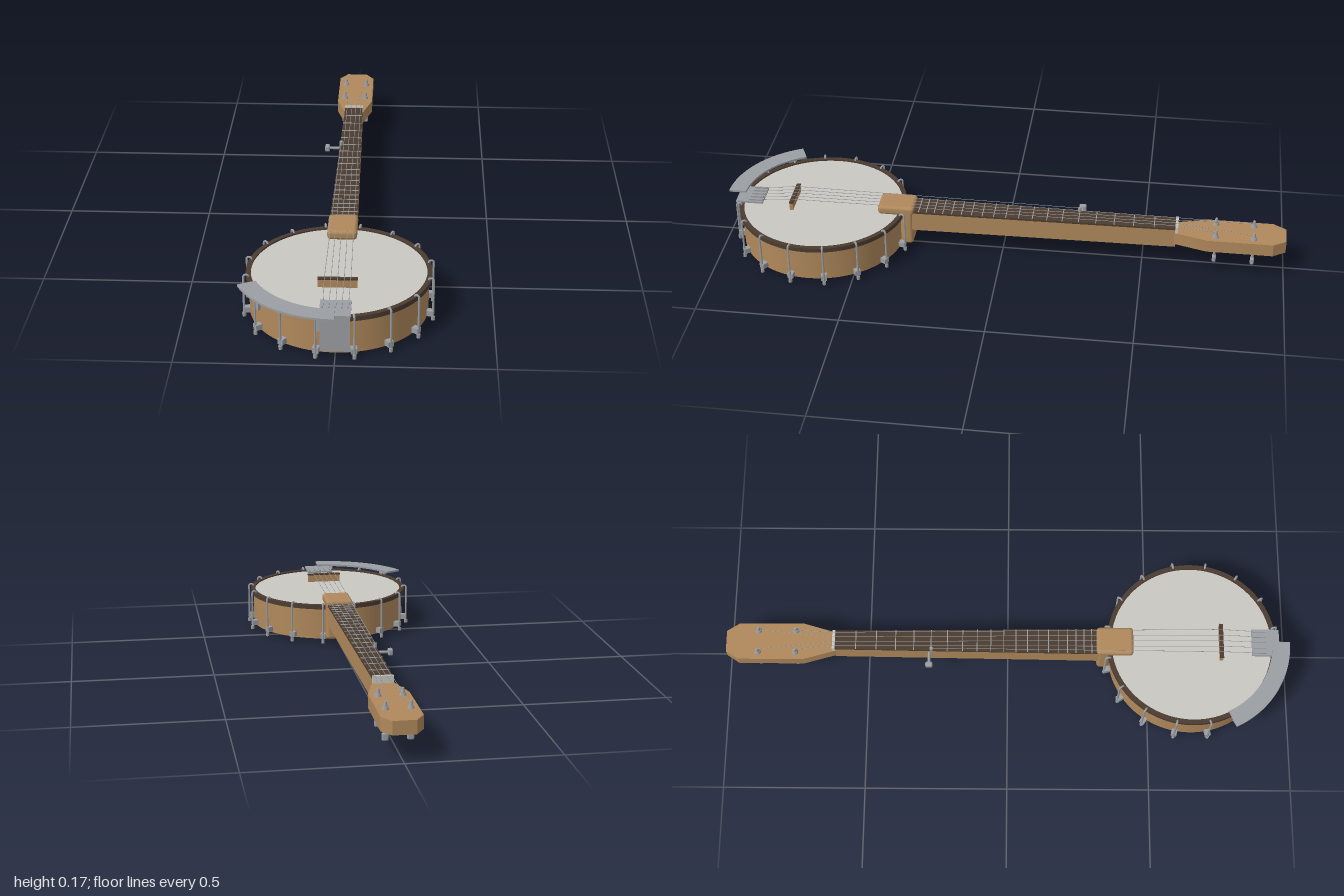
import * as THREE from 'three';
import { toCreasedNormals } from 'three/addons/utils/BufferGeometryUtils.js';
import { RoundedBoxGeometry } from 'three/addons/geometries/RoundedBoxGeometry.js';

const paint = (color) => new THREE.MeshStandardMaterial({ color });
const wood = paint(0xb0895c), dark = paint(0x4c3c31), metal = paint(0x9b9ea2), skin = paint(0xc9c8c2);
const POT_Z = 0.652;

function add(parent, name, geometry, material, x = 0, y = 0, z = 0) {
  const mesh = new THREE.Mesh(geometry, material);
  mesh.name = name;
  mesh.position.set(x, y, z);
  parent.add(mesh);
  return mesh;
}

// Box given by its limits
function box(parent, name, material, [x0, x1], [y0, y1], [z0, z1]) {
  return add(parent, name, new THREE.BoxGeometry(x1 - x0, y1 - y0, z1 - z0), material,
    (x0 + x1) / 2, (y0 + y1) / 2, (z0 + z1) / 2);
}

// Horizontal slab from a plan shape whose y axis points to -z
function slab(shape, y0, y1) {
  const g = new THREE.ExtrudeGeometry(shape, { depth: y1 - y0, bevelEnabled: false, curveSegments: 64 });
  g.rotateX(-Math.PI / 2).translate(0, y0, 0);
  return toCreasedNormals(g, 0.5);
}

// Symmetric plan outline from [half width, z] pairs
function outline(pairs) {
  const right = pairs.map(([x, z]) => new THREE.Vector2(x, -z));
  const left = pairs.map(([x, z]) => new THREE.Vector2(-x, -z)).reverse();
  return new THREE.Shape([...right, ...left]);
}

function ring(outer, inner, y0, y1) {
  const shape = new THREE.Shape().absarc(0, 0, outer, 0, Math.PI * 2);
  shape.holes.push(new THREE.Path().absarc(0, 0, inner, 0, Math.PI * 2, true));
  return slab(shape, y0, y1);
}

// Straight round bar between two points
function bar(parent, name, a, b, r, material, sides = 6) {
  const from = new THREE.Vector3(...a), to = new THREE.Vector3(...b);
  const mesh = add(parent, name, new THREE.CylinderGeometry(r, r, from.distanceTo(to), sides), material);
  mesh.position.lerpVectors(from, to, 0.5);
  mesh.quaternion.setFromUnitVectors(new THREE.Vector3(0, 1, 0), to.sub(from).normalize());
  return mesh;
}

function buildPot() {
  const pot = new THREE.Group();
  pot.name = 'pot';
  pot.position.z = POT_Z;
  add(pot, 'rim', ring(0.29, 0.262, 0.012, 0.129), wood);
  add(pot, 'tensionHoop', ring(0.3, 0.284, 0.129, 0.145), dark);
  add(pot, 'drumHead', new THREE.CylinderGeometry(0.286, 0.286, 0.008, 64), skin, 0, 0.136);

  // Sixteen hooks with shoes and nuts
  const hookPath = new THREE.CurvePath();
  const v = (y, z) => new THREE.Vector3(0, y, z);
  hookPath.add(new THREE.LineCurve3(v(0.008, 0.31), v(0.143, 0.31)));
  hookPath.add(new THREE.CubicBezierCurve3(v(0.143, 0.31), v(0.154, 0.31), v(0.154, 0.293), v(0.143, 0.293)));
  const hookGeo = new THREE.TubeGeometry(hookPath, 40, 0.0037, 8);
  const nutGeo = new THREE.CylinderGeometry(0.0065, 0.0065, 0.013, 6);
  const shoeGeo = new THREE.BoxGeometry(0.02, 0.019, 0.024);
  for (let i = 0; i < 16; i++) {
    const hook = new THREE.Group();
    hook.name = 'tensionHook';
    hook.rotation.y = (i + 0.5) * Math.PI / 8;
    add(hook, 'hookRod', hookGeo, metal);
    add(hook, 'hookNut', nutGeo, metal, 0, 0.0065, 0.31);
    add(hook, 'hookShoe', shoeGeo, metal, 0, 0.026, 0.3);
    pot.add(hook);
  }

  // Armrest: curved plate on two brackets
  const a0 = -Math.PI * 155 / 180, a1 = -Math.PI / 2;
  const arc = new THREE.Shape();
  arc.absarc(0, 0, 0.347, a0, a1, false);
  arc.absarc(0, 0, 0.285, a1, a0, true);
  add(pot, 'armrest', slab(arc, 0.158, 0.165), metal);
  for (const angle of [-0.16, -0.97]) {
    const bracket = new THREE.Group();
    bracket.name = 'armrestBracket';
    bracket.rotation.y = angle;
    box(bracket, 'bracketPlate', metal, [-0.015, 0.015], [0.095, 0.16], [0.3, 0.308]);
    pot.add(bracket);
  }
  return pot;
}

function buildTailpiece() {
  const tail = new THREE.Group();
  tail.name = 'tailpiece';
  box(tail, 'tailpieceFront', metal, [-0.047, 0.047], [0.028, 0.153], [0.954, 0.962]);
  box(tail, 'tailpieceTop', metal, [-0.049, 0.049], [0.148, 0.155], [0.865, 0.962]);
  for (let i = -2; i <= 2; i++)
    box(tail, 'stringFinger', metal, [i * 0.02 - 0.002, i * 0.02 + 0.002], [0.154, 0.161], [0.867, 0.915]);
  return tail;
}

function buildNeck() {
  const neck = new THREE.Group();
  neck.name = 'neck';
  add(neck, 'neckShaft', slab(outline([[0.046, 0.34], [0.034, -0.615]]), 0.08, 0.15), wood);
  add(neck, 'fretboard', slab(outline([[0.046, 0.32], [0.034, -0.615]]), 0.15, 0.157), dark);
  add(neck, 'headstock', slab(outline([[0.034, -0.61], [0.067, -0.725], [0.067, -0.955], [0.038, -1]]), 0.092, 0.138), wood);
  add(neck, 'heelBlock', new RoundedBoxGeometry(0.1, 0.148, 0.045, 3, 0.012), wood, 0, 0.094, 0.342);
  add(neck, 'heelCap', new RoundedBoxGeometry(0.1, 0.034, 0.13, 3, 0.012), wood, 0, 0.155, 0.38);
  box(neck, 'nut', skin, [-0.035, 0.035], [0.138, 0.163], [-0.622, -0.612]);

  // Frets at equal tempered spacing
  for (let i = 1; i <= 19; i++) {
    const z = -0.615 + 1.37 * (1 - 2 ** (-i / 12));
    const half = 0.034 + 0.012 * (z + 0.615) / 0.955;
    box(neck, 'fret', metal, [-half, half], [0.156, 0.159], [z - 0.0015, z + 0.0015]);
  }

  // Four tuning pegs through the headstock
  for (const z of [-0.887, -0.754]) for (const x of [-0.04, 0.04]) {
    const peg = new THREE.Group();
    peg.name = 'tuningPeg';
    peg.position.set(x, 0, z);
    add(peg, 'pegCollar', new THREE.CylinderGeometry(0.009, 0.012, 0.01, 12), metal, 0, 0.142);
    add(peg, 'pegPost', new THREE.CylinderGeometry(0.004, 0.008, 0.02, 12), metal, 0, 0.154);
    add(peg, 'pegShaft', new THREE.CylinderGeometry(0.005, 0.005, 0.04, 10), metal, 0, 0.077);
    add(peg, 'pegButton', new RoundedBoxGeometry(0.022, 0.026, 0.014, 2, 0.005), metal, 0, 0.05);
    neck.add(peg);
  }

  // Short string peg on the side of the neck
  bar(neck, 'sidePegShaft', [-0.03, 0.14, -0.278], [-0.08, 0.14, -0.278], 0.005, metal, 10);
  add(neck, 'sidePegButton', new RoundedBoxGeometry(0.018, 0.024, 0.026, 2, 0.006), metal, -0.085, 0.14, -0.278);
  bar(neck, 'sidePegPost', [-0.034, 0.14, -0.27], [-0.034, 0.172, -0.27], 0.006, metal, 10);

  // Coordinator rod inside the pot
  bar(neck, 'coordinatorRod', [0, 0.07, 0.35], [0, 0.07, 0.93], 0.009, metal, 12);
  return neck;
}

function buildStrings() {
  const strings = new THREE.Group();
  strings.name = 'strings';
  // Bridge
  box(strings, 'bridge', wood, [-0.063, 0.063], [0.139, 0.167], [0.75, 0.762]);
  box(strings, 'bridgeCap', dark, [-0.064, 0.064], [0.167, 0.172], [0.749, 0.763]);

  for (let i = 0; i < 5; i++) {
    const spread = i - 2;
    const points = [[spread * 0.02, 0.16, 0.87], [spread * 0.021, 0.173, 0.756]];
    if (i === 0) points.push([-0.034, 0.17, -0.27]);
    else {
      const s = i - 2.5;
      const side = Math.sign(s);
      points.push([s * 0.017, 0.164, -0.617]);
      points.push([side * 0.036, 0.155, Math.abs(s) > 1 ? -0.754 : -0.887]);
    }
    for (let k = 1; k < points.length; k++) bar(strings, 'string', points[k - 1], points[k], 0.001, metal, 5);
  }
  return strings;
}

export function createModel() {
  const model = new THREE.Group();
  model.name = 'banjo';
  model.add(buildPot(), buildTailpiece(), buildNeck(), buildStrings());
  return model;
}
